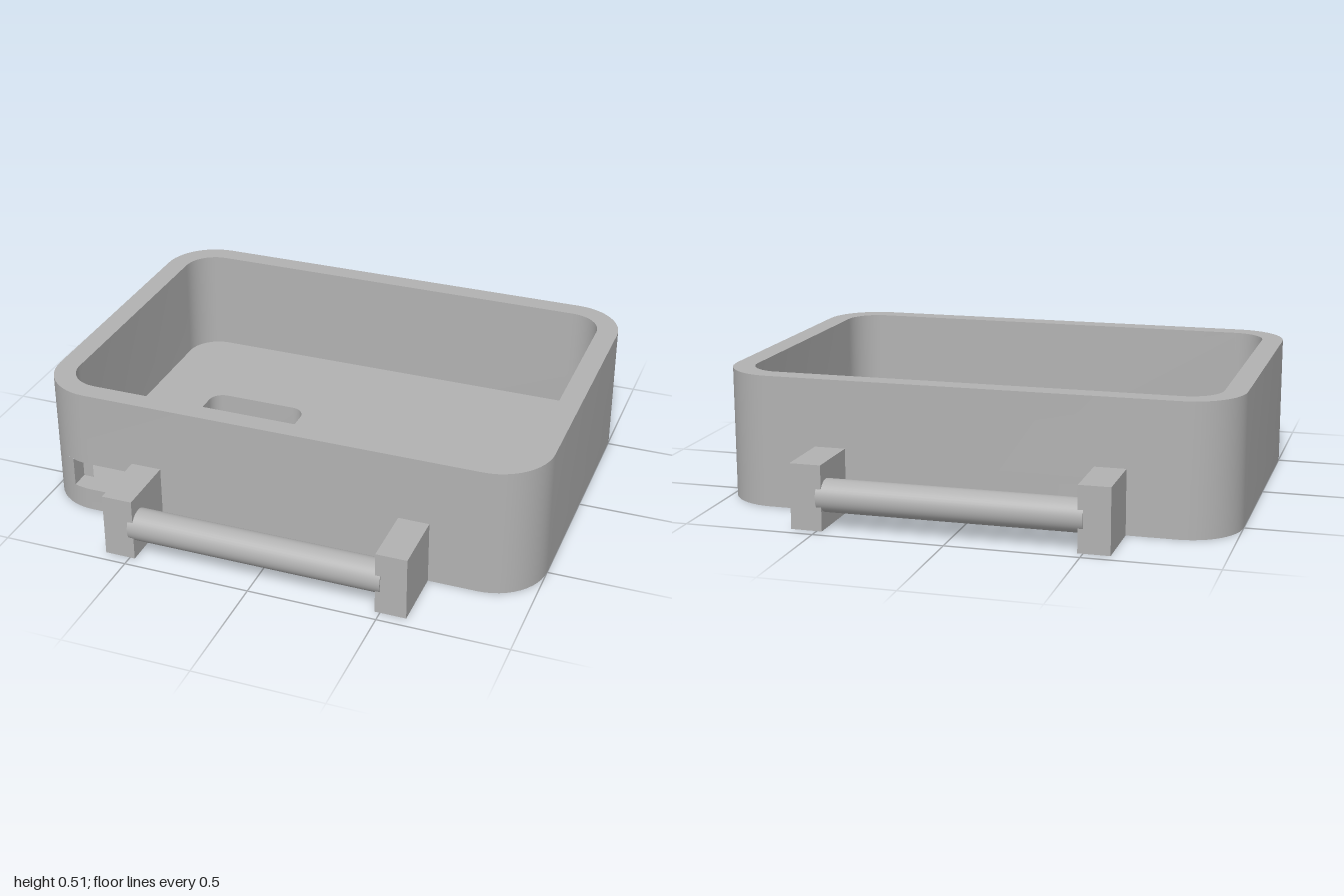
import * as THREE from 'three';
import { mergeGeometries, toCreasedNormals } from 'three/addons/utils/BufferGeometryUtils.js';

// Plan points use (x, s) with s = -z, counter-clockwise seen from above.
const P = (x, s) => new THREE.Vector2(x, s);
const HALF_PI = Math.PI / 2;

function arc(cx, cs, r, a0, a1, n = 12) {
  return Array.from({ length: n + 1 }, (_, i) => {
    const a = a0 + (a1 - a0) * i / n;
    return P(cx + r * Math.cos(a), cs + r * Math.sin(a));
  });
}

// Rounded rectangle from the front-left-most straight round to angle `end` of the last corner
function rounded(hx, hs, r, end = 3 * HALF_PI, cx = 0) {
  const x = hx - r, s = hs - r;
  return [
    ...arc(cx + x, -s, r, -HALF_PI, 0),
    ...arc(cx + x, s, r, 0, HALF_PI),
    ...arc(cx - x, s, r, HALF_PI, Math.PI),
    ...arc(cx - x, -s, r, Math.PI, end),
  ];
}

// Vertical wall along a closed loop, facing away from its inside
function wall(loop, y0, y1) {
  const pos = [];
  loop.forEach((a, i) => {
    const b = loop[(i + 1) % loop.length];
    const v = (p, y) => pos.push(p.x, y, -p.y);
    v(a, y0); v(b, y0); v(b, y1);
    v(a, y0); v(b, y1); v(a, y1);
  });
  const g = new THREE.BufferGeometry();
  g.setAttribute('position', new THREE.Float32BufferAttribute(pos, 3));
  return g;
}

// Flat horizontal face with optional hole, facing up or down
function plate(loop, hole, y, down = false) {
  const shape = new THREE.Shape(loop);
  if (hole) shape.holes.push(new THREE.Path(hole));
  const g = new THREE.ShapeGeometry(shape);
  g.rotateX(-HALF_PI).translate(0, y, 0);
  if (down) g.setIndex(Array.from(g.index.array).reverse());
  g.deleteAttribute('uv');
  g.deleteAttribute('normal');
  return g.toNonIndexed();
}

export function createModel() {
  const model = new THREE.Group();
  model.name = 'tray';
  const grey = new THREE.MeshStandardMaterial({ color: 0xb2b2b2 });
  grey.name = 'grey';

  const W = 1, D = 0.706, R = 0.21, H = 0.512;     // outside
  const w = 0.915, d = 0.625, r = 0.13;            // inside
  const floorY = 0.092, slotTop = 0.208;
  const slotL = -0.863, slotR = -0.613, slotBack = 0.62;

  const outer = rounded(W, D, R);
  const inner = rounded(w, d, r);
  const opening = rounded(0.21, 0.17, 0.06, 3 * HALF_PI, -0.44);
  const reversed = (loop) => [...loop].reverse();

  // Middle band: wall outline interrupted by the front slot
  const outA = Math.PI + Math.acos((-slotL - (W - R)) / R);
  const inA = Math.PI + Math.asin((slotBack - (d - r)) / r);
  const band = [
    P(slotR, -D), ...rounded(W, D, R, outA),
    P(slotL, -slotBack), ...reversed(rounded(w, d, r, inA)), P(slotR, -d),
  ];
  const slot = [
    ...arc(-(W - R), -(D - R), R, outA, 3 * HALF_PI), P(slotR, -D),
    P(slotR, -d), ...arc(-(w - r), -(d - r), r, 3 * HALF_PI, inA), P(slotL, -slotBack),
  ];

  const shell = mergeGeometries([
    wall(outer, 0, floorY),
    wall(band, floorY, slotTop),
    wall(outer, slotTop, H),
    wall(reversed(inner), slotTop, H),
    wall(reversed(opening), 0, floorY),
    plate(outer, opening, 0, true),
    plate(inner, opening, floorY),
    plate(outer, inner, H),
    plate(slot, null, floorY),
    plate(slot, null, slotTop, true),
  ]);
  const body = new THREE.Mesh(toCreasedNormals(shell, 0.6), grey);
  body.name = 'trayBody';
  model.add(body);

  // Handles on the front and back: two brackets and a round bar each
  for (const [side, label] of [[1, 'front'], [-1, 'back']]) {
    const handle = new THREE.Group();
    handle.name = label + 'Handle';
    for (const x of [-0.54, 0.54]) {
      const bracket = new THREE.Mesh(new THREE.BoxGeometry(0.12, 0.25, 0.25), grey);
      bracket.position.set(x, 0.125, side * (D + 0.125));
      bracket.name = x > 0 ? 'leftBracket' : 'rightBracket';
      handle.add(bracket);
    }
    const bar = new THREE.Mesh(new THREE.CylinderGeometry(0.0625, 0.0625, 1, 40), grey);
    bar.rotation.z = HALF_PI;
    bar.position.set(0, 0.125, side * 0.904);
    bar.name = 'gripBar';
    handle.add(bar);
    model.add(handle);
  }
  return model;
}
